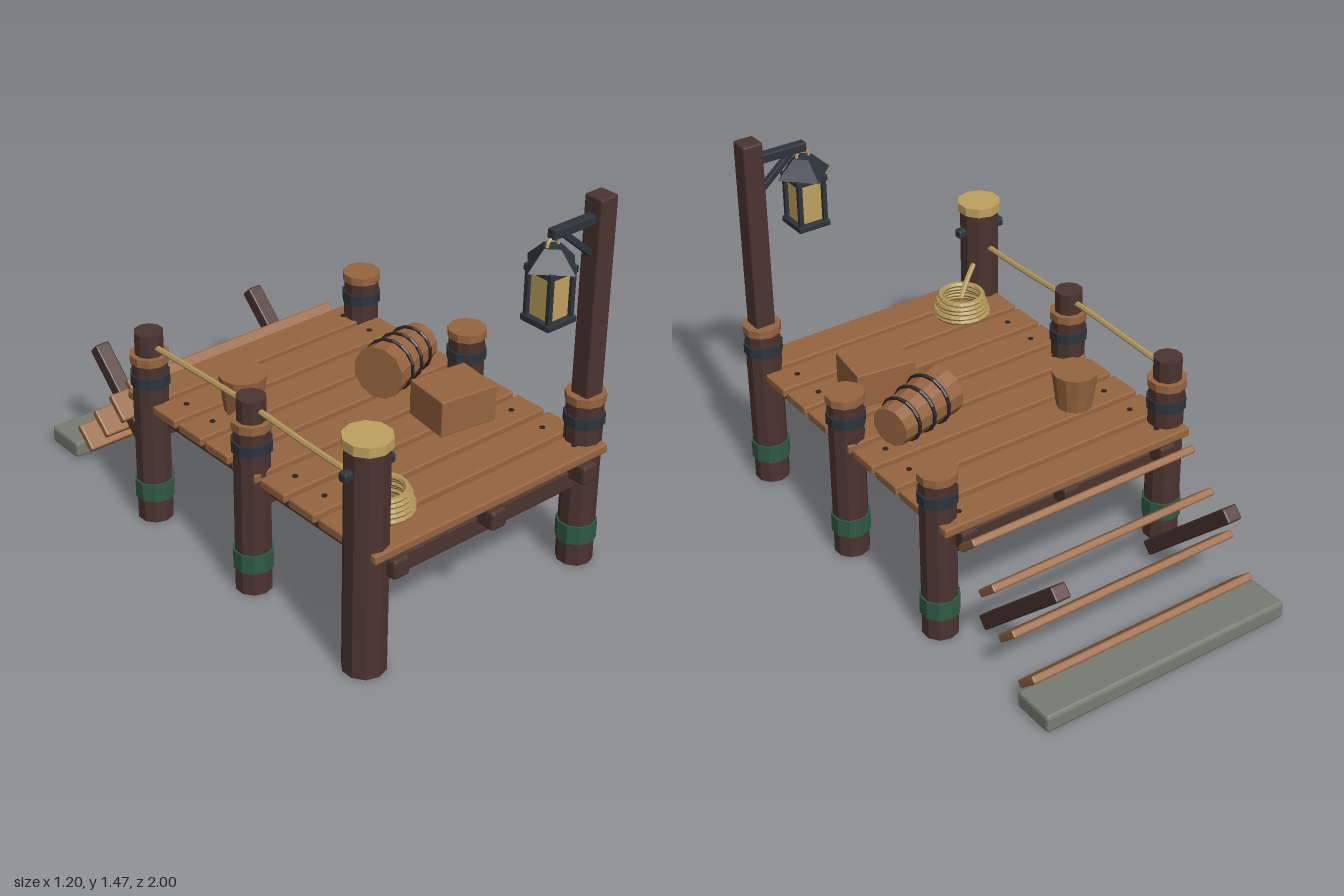
import * as THREE from 'three';
import { RoundedBoxGeometry } from 'three/addons/geometries/RoundedBoxGeometry.js';

const paint = (name, color) => {
  const m = new THREE.MeshStandardMaterial({ color, flatShading: true });
  m.name = name;
  return m;
};

export function createModel() {
  const darkWood = paint('dark wood', 0x4b342f);
  const plankWood = paint('plank wood', 0x966540);
  const iron = paint('iron', 0x2d343c);
  const blackIron = paint('black iron', 0x2b2323);
  const rope = paint('rope', 0xb3985a);
  const paleWood = paint('pale wood', 0xbfa25f);
  const moss = paint('moss', 0x2f5a45);
  const stone = paint('stone', 0x787c72);

  const model = new THREE.Group();
  model.name = 'dock';
  const group = (name, parent = model) => {
    const g = new THREE.Group();
    g.name = name;
    parent.add(g);
    return g;
  };
  const add = (parent, name, geometry, material, x = 0, y = 0, z = 0) => {
    const mesh = new THREE.Mesh(geometry, material);
    mesh.name = name;
    mesh.position.set(x, y, z);
    parent.add(mesh);
    return mesh;
  };
  // Chamfered box
  const box = (parent, name, mat, w, h, d, x, y, z, bevel = 0.006) =>
    add(parent, name, new RoundedBoxGeometry(w, h, d, 1, bevel), mat, x, y, z);
  // Upright faceted cylinder between two heights
  const drum = (parent, name, mat, r, y0, y1, x, z, sides = 10, rTop = r) =>
    add(parent, name, new THREE.CylinderGeometry(rTop, r, y1 - y0, sides), mat, x, (y0 + y1) / 2, z);
  const ropeTube = (parent, name, points) => {
    const curve = new THREE.CatmullRomCurve3(points.map((p) => new THREE.Vector3(...p)));
    add(parent, name, new THREE.TubeGeometry(curve, 16, 0.011, 6), rope);
  };

  // Deck planks with nails
  const deck = group('deck');
  for (let i = 0; i < 9; i++) {
    const z = -0.352 + i * 0.1575;
    box(deck, 'deckPlank', plankWood, 1.094, 0.036, 0.135, 0.012, 0.494, z);
    for (const x of [-0.43, 0.457]) drum(deck, 'nail', blackIron, 0.011, 0.508, 0.516, x, z, 6);
  }

  // Beams under the deck
  const frame = group('frame');
  for (const x of [-0.433, 0.012, 0.457])
    box(frame, 'longBeam', darkWood, 0.07, 0.074, 1.42, x, 0.433, 0.285, 0.01);
  const postRows = [0.885, 0.28, -0.322];
  for (const z of postRows)
    box(frame, 'crossBeam', darkWood, 0.99, 0.075, 0.075, 0.012, 0.383, z);

  // Banded posts; the two on the left carry a stub for the rope
  const bandedPost = (name, x, z, stub) => {
    const g = group(name);
    drum(g, 'postShaft', darkWood, 0.069, 0, 0.67, x, z);
    drum(g, 'mossBand', moss, 0.076, 0.095, 0.17, x, z);
    drum(g, 'ironBand', iron, 0.076, 0.58, 0.622, x, z);
    drum(g, 'postCap', plankWood, 0.075, 0.67, 0.702, x, z);
    if (stub) drum(g, 'postStub', darkWood, 0.055, 0.7, 0.79, x, z);
  };
  for (const z of postRows) bandedPost('rightPost', 0.524, z, false);
  for (const z of postRows.slice(1)) bandedPost('leftPost', -0.497, z, true);

  // Tall mooring post with cleat
  const mooring = group('mooringPost');
  drum(mooring, 'mooringShaft', darkWood, 0.08, 0, 0.885, -0.497, 0.885);
  drum(mooring, 'mooringCap', paleWood, 0.088, 0.885, 0.922, -0.497, 0.885);
  box(mooring, 'cleat', iron, 0.218, 0.036, 0.036, -0.497, 0.8, 0.885, 0.008);

  // Lamp post, arm and brace
  const lamp = group('lampPost');
  box(lamp, 'lampPole', darkWood, 0.082, 0.775, 0.08, 0.522, 1.0785, 0.89, 0.008);
  box(lamp, 'lampArm', iron, 0.2, 0.036, 0.036, 0.388, 1.386, 0.89, 0.004);
  const brace = box(lamp, 'lampBrace', iron, 0.175, 0.024, 0.024, 0.415, 1.315, 0.89, 0.003);
  brace.rotation.z = -0.7;

  // Lantern
  const lantern = group('lantern', lamp);
  lantern.position.set(0.298, 0, 0.89);
  add(lantern, 'lanternRing', new THREE.TorusGeometry(0.026, 0.006, 6, 14), paleWood, 0, 1.344, 0);
  drum(lantern, 'lanternRoof', iron, 0.112, 1.272, 1.342, 0, 0, 4, 0.04);
  box(lantern, 'lanternTop', iron, 0.13, 0.024, 0.13, 0, 1.262, 0, 0.003);
  box(lantern, 'lanternBase', iron, 0.134, 0.024, 0.134, 0, 1.074, 0, 0.003);
  box(lantern, 'lanternGlass', paleWood, 0.094, 0.166, 0.094, 0, 1.168, 0, 0.003);
  for (const x of [-0.052, 0.052]) for (const z of [-0.052, 0.052])
    box(lantern, 'lanternCorner', iron, 0.018, 0.168, 0.018, x, 1.168, z, 0.002);

  // Rope rail and coil
  const ropes = group('ropes');
  ropeTube(ropes, 'railRope', [[-0.497, 0.736, 0.86], [-0.497, 0.738, 0.6], [-0.497, 0.75, 0.28],
    [-0.497, 0.746, 0], [-0.497, 0.736, -0.322]]);
  for (let i = 0; i < 5; i++) {
    const coil = add(ropes, 'ropeCoil', new THREE.TorusGeometry(0.105 - i * 0.005, 0.012, 6, 20), rope,
      -0.328 + (i % 2) * 0.006, 0.523 + i * 0.017, 0.772);
    coil.rotation.x = Math.PI / 2;
  }
  ropeTube(ropes, 'looseRope', [[-0.45, 0.67, 0.85], [-0.39, 0.63, 0.815], [-0.33, 0.57, 0.78]]);

  // Bucket and crate
  drum(model, 'bucket', plankWood, 0.07, 0.512, 0.662, -0.288, -0.038, 12, 0.09);
  const crate = box(model, 'crate', plankWood, 0.24, 0.143, 0.2, 0.262, 0.583, 0.487, 0.004);
  crate.rotation.y = -0.13;

  // Tapered barrel on its side, wide end at -x
  const barrel = group('barrel');
  const wide = new THREE.Vector3(0.147, 0.612, 0.21);
  const narrow = new THREE.Vector3(0.437, 0.602, 0.115);
  const axis = narrow.clone().sub(wide);
  const length = axis.length();
  barrel.position.copy(wide);
  barrel.quaternion.setFromUnitVectors(new THREE.Vector3(0, 1, 0), axis.normalize());
  drum(barrel, 'barrelBody', plankWood, 0.104, 0, length, 0, 0, 12, 0.078);
  for (const t of [0.27, 0.52, 0.78]) {
    const hoop = add(barrel, 'barrelHoop', new THREE.TorusGeometry(0.106 - 0.026 * t, 0.008, 6, 16),
      blackIron, 0, t * length, 0);
    hoop.rotation.x = Math.PI / 2;
  }

  // Back stairs: slanted treads, two stringers and a stone footing
  const stairs = group('stairs');
  for (let i = 0; i < 4; i++) {
    const tread = box(stairs, 'stairTread', plankWood, 0.99, 0.03, 0.114,
      0.011, 0.453 - i * 0.122, -0.467 - i * 0.1175);
    tread.rotation.x = 0.74;
  }
  for (const x of [-0.367, 0.39]) {
    const stringer = box(stairs, 'stairStringer', darkWood, 0.062, 0.058, 0.585, x, 0.25, -0.645);
    stringer.rotation.x = 0.76;
  }
  box(stairs, 'stoneFooting', stone, 1.067, 0.07, 0.175, 0.013, 0.041, -0.912, 0.012);

  return model;
}
